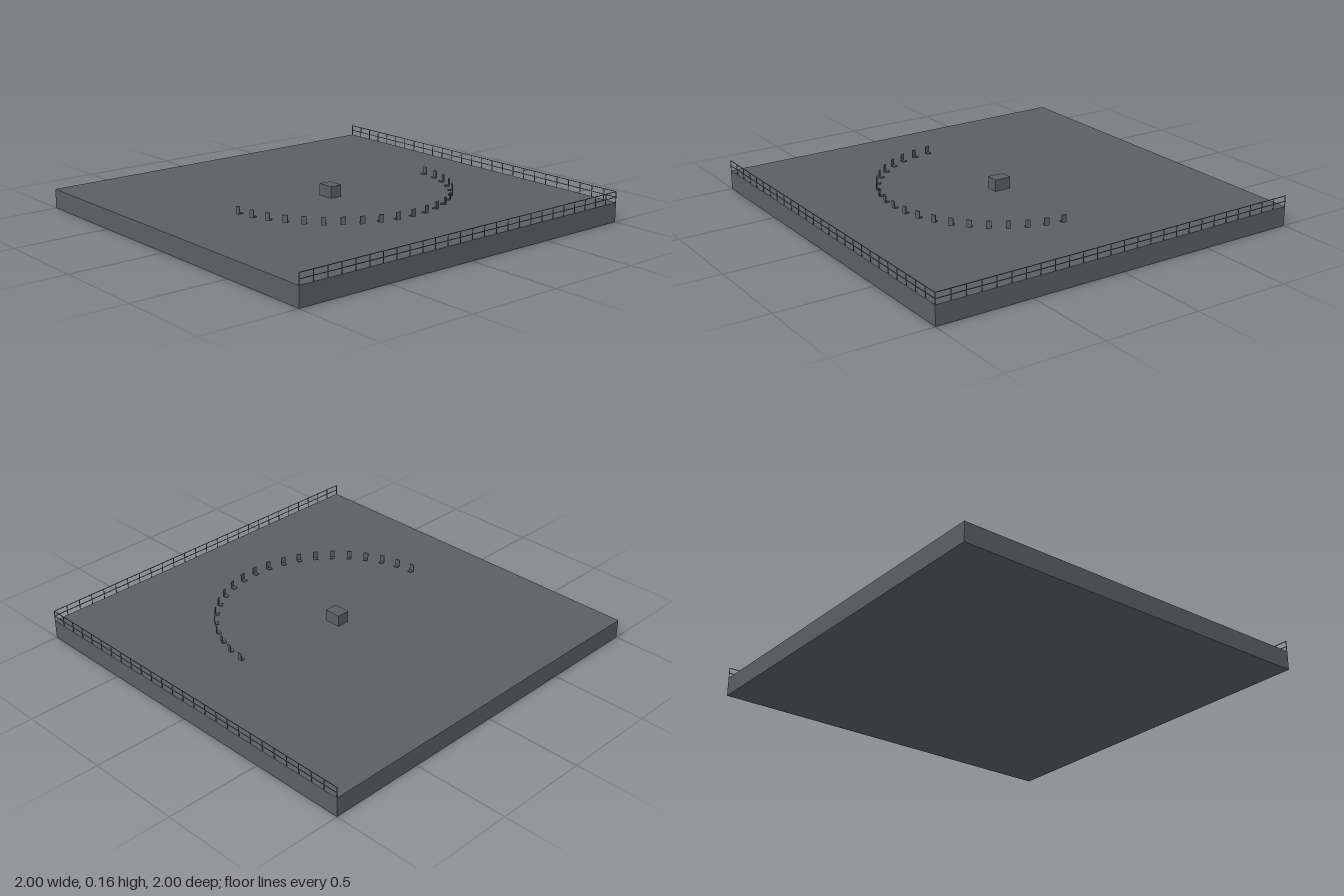
import * as THREE from 'three';

export function createModel() {
  const model = new THREE.Group();
  const grey = new THREE.MeshStandardMaterial({ color: 0x5c6062 });
  grey.name = 'slate grey';

  const DECK = 0.1;      // height of the platform top
  const R = 0.6;         // radius of the seating arc
  const SEATS = 21;
  const BAYS = 26;       // railing bays on each side
  const RAIL = 0.003;    // railing bar thickness

  function box(parent, name, w, h, d, x, y, z) {
    const mesh = new THREE.Mesh(new THREE.BoxGeometry(w, h, d), grey);
    mesh.name = name;
    mesh.position.set(x, y, z);
    parent.add(mesh);
    return mesh;
  }

  // Square platform and the block at its centre
  box(model, 'platform', 2, DECK, 2, 0, DECK / 2, 0);
  box(model, 'centreBlock', 0.088, 0.06, 0.068, -0.003, DECK + 0.03, 0);

  // Half circle of raised seats facing the centre, each with an outer backrest
  const seating = new THREE.Group();
  seating.name = 'seating';
  for (let i = 0; i < SEATS; i++) {
    const angle = ((i + 0.5) / SEATS - 0.5) * Math.PI;
    const seat = new THREE.Group();
    seat.name = 'seat';
    box(seat, 'seatPad', 0.024, 0.006, 0.024, 0, 0.126, 0);
    box(seat, 'backrest', 0.005, 0.034, 0.024, 0.0095, 0.145, 0);
    seat.position.set(R * Math.cos(angle), 0, R * Math.sin(angle));
    seat.rotation.y = -angle;
    seating.add(seat);
  }
  model.add(seating);

  // Railing run along local x: posts with a top and a middle rail
  function railing(name) {
    const run = new THREE.Group();
    run.name = name;
    const edge = 1 - RAIL / 2;
    for (const y of [0.127, 0.155]) {
      box(run, 'rail', 2, RAIL, RAIL, 0, y, -edge);
    }
    for (let i = 0; i <= BAYS; i++) {
      const x = (i / BAYS * 2 - 1) * edge;
      box(run, 'post', RAIL, 0.055, RAIL, x, DECK + 0.0275, -edge);
    }
    model.add(run);
    return run;
  }
  railing('backRailing');
  railing('leftRailing').rotation.y = -Math.PI / 2;

  return model;
}
